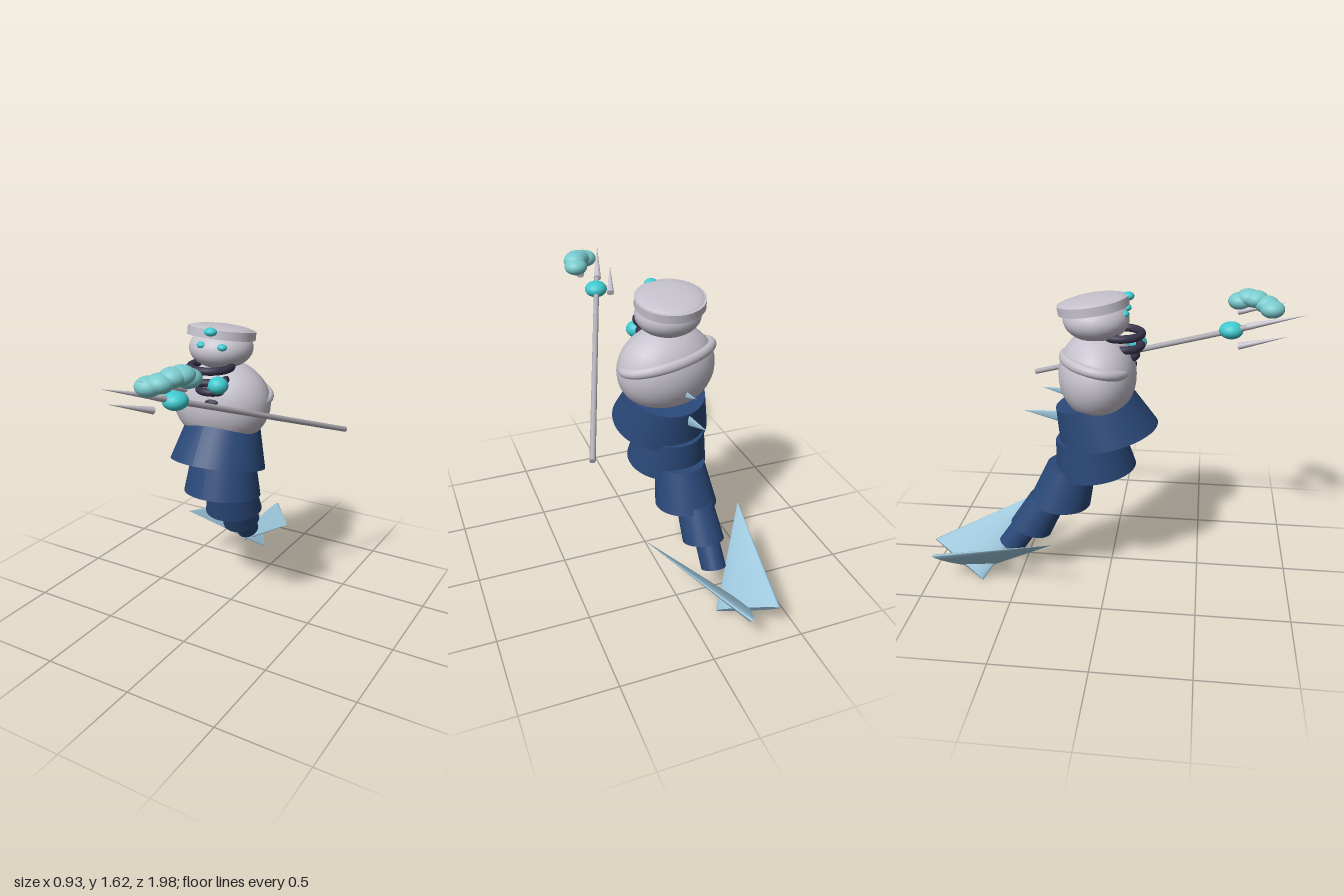
import * as THREE from 'three';

const V = (a) => new THREE.Vector3(...a);
const mat = (name, color, side = THREE.FrontSide) => {
  const m = new THREE.MeshStandardMaterial({ color, side });
  m.name = name;
  return m;
};

export function createModel() {
  const model = new THREE.Group();
  const pearl = mat('pearl grey', 0xc6c2cd);
  const steel = mat('steel grey', 0xb0acb4);
  const navy = mat('navy', 0x2a4878, THREE.DoubleSide);
  const dark = mat('dark violet', 0x37324a);
  const cyan = mat('bright cyan', 0x3fc9cf);
  const teal = mat('soft teal', 0x7acacd);
  const pale = mat('pale blue', 0x9cc6dc, THREE.DoubleSide);

  const add = (name, geo, material, pos = [0, 0, 0], rot = [0, 0, 0], scale = [1, 1, 1]) => {
    const m = new THREE.Mesh(geo, material);
    m.name = name;
    m.position.set(...pos);
    m.rotation.set(...rot);
    m.scale.set(...scale);
    model.add(m);
    return m;
  };
  const ball = (name, material, pos, r, rot) =>
    add(name, new THREE.SphereGeometry(1, 32, 20), material, pos, rot, r);

  // Cone from a base centre to a tip, with an oval base given by a half-width vector and a thickness
  const spike = (name, material, base, tip, wide, thick) => {
    const y = V(tip).sub(V(base)), x = V(wide);
    const z = x.clone().cross(y).normalize().multiplyScalar(thick);
    const geo = new THREE.ConeGeometry(1, 1, 24).translate(0, 0.5, 0);
    geo.applyMatrix4(new THREE.Matrix4().makeBasis(x, y, z).setPosition(V(base)));
    return add(name, geo, material);
  };

  // Straight rod between two points
  const rod = (name, material, a, b, r) => {
    const d = V(b).sub(V(a));
    const m = add(name, new THREE.CylinderGeometry(r, r, d.length(), 16), material);
    m.position.copy(V(a)).addScaledVector(d, 0.5);
    m.quaternion.setFromUnitVectors(new THREE.Vector3(0, 1, 0), d.normalize());
  };

  // Flared segment between two tilted circles: [centre, radius, rise per unit of z]
  const flare = (name, [tc, tr, ts], [bc, br, bs]) => {
    const geo = new THREE.CylinderGeometry(1, 1, 1, 40);
    const p = geo.attributes.position;
    for (let i = 0; i < p.count; i++) {
      const top = p.getY(i) > 0;
      const c = top ? tc : bc, r = top ? tr : br, s = top ? ts : bs;
      const x = p.getX(i) * r, z = p.getZ(i) * r;
      p.setXYZ(i, c[0] + x, c[1] + z * s, c[2] + z);
    }
    geo.computeVertexNormals();
    add(name, geo, navy);
  };

  // Torso and its sloping shoulder ring
  ball('torso', pearl, [-0.095, 1.205, -0.065], [0.275, 0.235, 0.205], [0, 0.15, 0]);
  const ring = new THREE.TorusGeometry(1, 0.115, 16, 56).rotateX(Math.PI / 2);
  const shoulder = add('shoulderRing', ring, pearl, [-0.1, 1.265, -0.075], [0, 0, 0], [0.258, 0.24, 0.172]);
  shoulder.rotation.set(0.22, 0.22, -0.15);

  // Head with flat cap
  ball('head', pearl, [-0.1, 1.5, -0.07], [0.173, 0.11, 0.17]);
  add('capBand', new THREE.CylinderGeometry(0.183, 0.183, 0.045, 48), pearl, [-0.105, 1.575, -0.085], [-0.16, 0, -0.03]);
  ball('capTop', pearl, [-0.105, 1.592, -0.085], [0.175, 0.03, 0.175], [-0.16, 0, -0.03]);

  // Eyes and brow gem
  for (const x of [-0.13, -0.005]) ball('eye', cyan, [x, 1.538, 0.078], [0.026, 0.018, 0.024]);
  ball('browGem', cyan, [-0.067, 1.614, 0.09], [0.035, 0.022, 0.03]);

  // Stacked neck rings, shrinking downwards
  [[[-0.088, 1.425, 0.055], 0.108], [[-0.088, 1.362, 0.07], 0.09],
    [[-0.073, 1.307, 0.06], 0.074], [[-0.055, 1.25, 0.065], 0.052]].forEach(([pos, r]) =>
    add('neckRing', new THREE.TorusGeometry(r, 0.021, 14, 40), dark, pos, [Math.PI / 2, 0, 0]));

  // Tail of overlapping flared segments, curving backwards
  flare('tailSegment1', [[-0.095, 1.07, -0.085], 0.203, 0.26], [[-0.085, 0.867, -0.005], 0.262, 0.25]);
  flare('tailSegment2', [[-0.11, 0.87, -0.11], 0.18, 0.2], [[-0.1, 0.66, -0.075], 0.218, 0.14]);
  flare('tailSegment3', [[-0.125, 0.69, -0.205], 0.135, -0.03], [[-0.14, 0.467, -0.273], 0.168, -0.09]);
  flare('tailSegment4', [[-0.165, 0.49, -0.335], 0.1, -0.25], [[-0.18, 0.31, -0.435], 0.112, -0.32]);
  flare('tailSegment5', [[-0.188, 0.34, -0.45], 0.065, -0.5], [[-0.195, 0.195, -0.55], 0.066, -0.5]);

  // Tail flukes: flattened cones that cross at the root
  const fluke = (name, tip, a, b) => {
    const mid = V(a).add(V(b)).multiplyScalar(0.5).toArray();
    const half = V(a).sub(V(b)).multiplyScalar(0.5).toArray();
    spike(name, pale, mid, tip, half, 0.025);
  };
  fluke('leftFluke', [0.155, 0.37, -0.405], [-0.205, 0.2, -0.995], [-0.312, 0.015, -0.7]);
  fluke('rightFluke', [-0.465, 0.37, -0.27], [-0.38, 0.2, -0.96], [-0.155, 0.015, -0.69]);

  // Thin fins along the back
  spike('backFin', pale, [-0.13, 1.105, -0.2], [-0.15, 1.137, -0.345], [0, 0.028, 0], 0.008);
  spike('backFin', pale, [-0.14, 0.97, -0.24], [-0.165, 1.008, -0.45], [0, 0.036, 0], 0.01);

  // Hands
  ball('leftHand', cyan, [0, 1.352, 0.13], [0.055, 0.045, 0.053]);
  ball('rightHand', cyan, [0.07, 1.412, 0.618], [0.063, 0.045, 0.063]);

  // Trident
  rod('tridentShaft', steel, [0.452, 1.003, -0.51], [0.032, 1.448, 0.72], 0.015);
  const prongs = [
    [[0.035, 1.445, 0.7], [-0.055, 1.54, 0.985]],
    [[-0.03, 1.36, 0.658], [-0.105, 1.44, 0.892]],
    [[0.15, 1.492, 0.655], [0.065, 1.57, 0.89]],
  ];
  for (const [base, tip] of prongs) spike('tridentProng', pearl, base, tip, [0.02, 0, 0.007], 0.018);

  // Curl of overlapping balls above the trident
  for (const pos of [[0.072, 1.53, 0.82], [0.115, 1.543, 0.795], [0.145, 1.562, 0.74],
    [0.165, 1.565, 0.7], [0.172, 1.543, 0.66]])
    ball('curlBall', teal, pos, [0.064, 0.046, 0.064]);

  return model;
}
